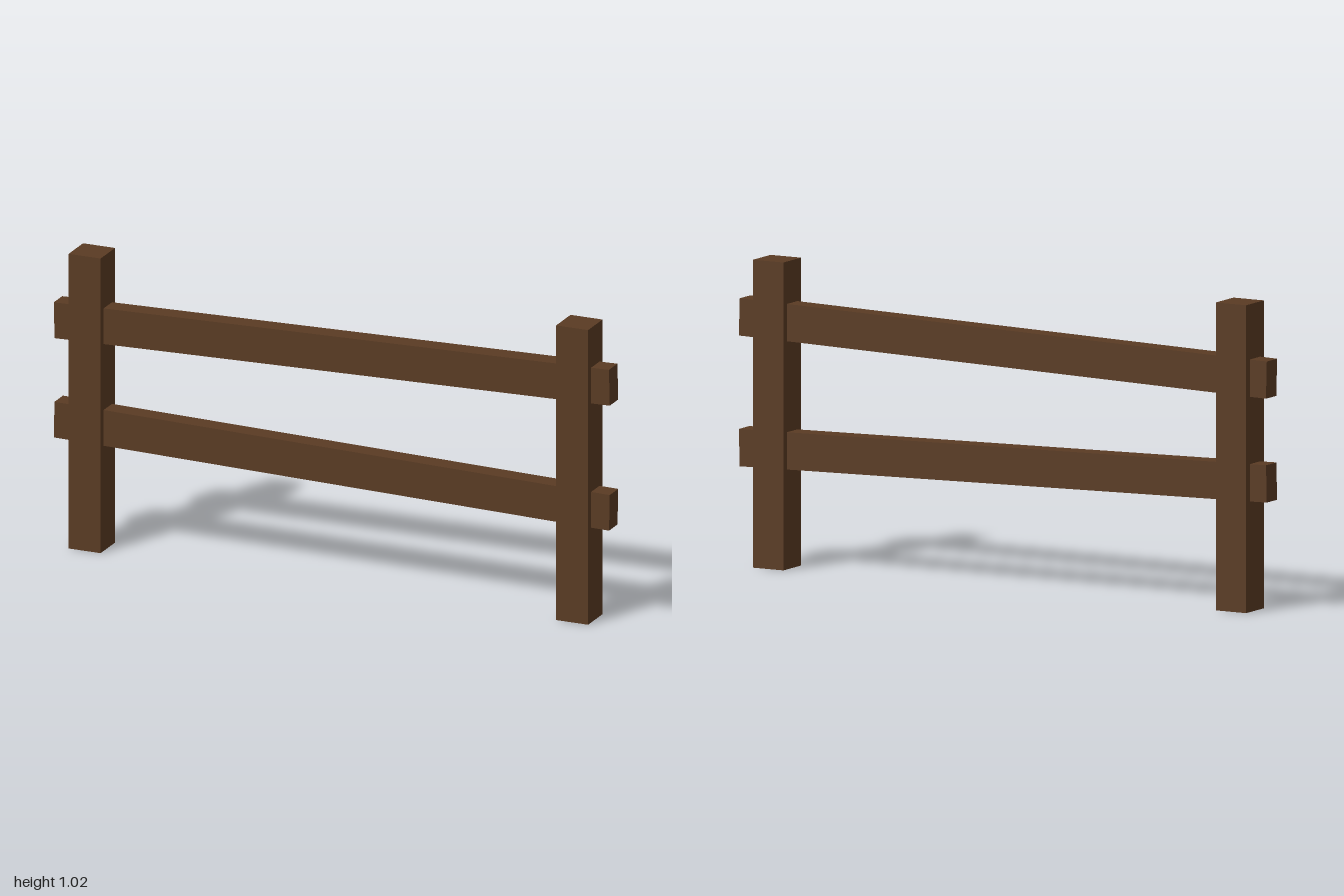
import * as THREE from 'three';

export function createModel() {
  const group = new THREE.Group();
  const wood = new THREE.MeshStandardMaterial({ color: 0x5a3b23 });
  wood.name = 'dark brown wood';

  const beam = (name, size, position, tilt = 0) => {
    const mesh = new THREE.Mesh(new THREE.BoxGeometry(...size), wood);
    mesh.name = name;
    mesh.position.set(...position);
    mesh.rotation.z = tilt;
    group.add(mesh);
  };

  // Upright square posts
  const postHeight = 1.024;
  beam('leftPost', [0.115, postHeight, 0.116], [0.875, postHeight / 2, 0]);
  beam('rightPost', [0.115, postHeight, 0.116], [-0.878, postHeight / 2, 0]);

  // Slightly tilted rails running through the posts
  const railSize = [1.997, 0.124, 0.068];
  beam('upperRail', railSize, [0, 0.801, 0], 0.0243);
  beam('lowerRail', railSize, [0, 0.411, 0], -0.0205);

  return group;
}
